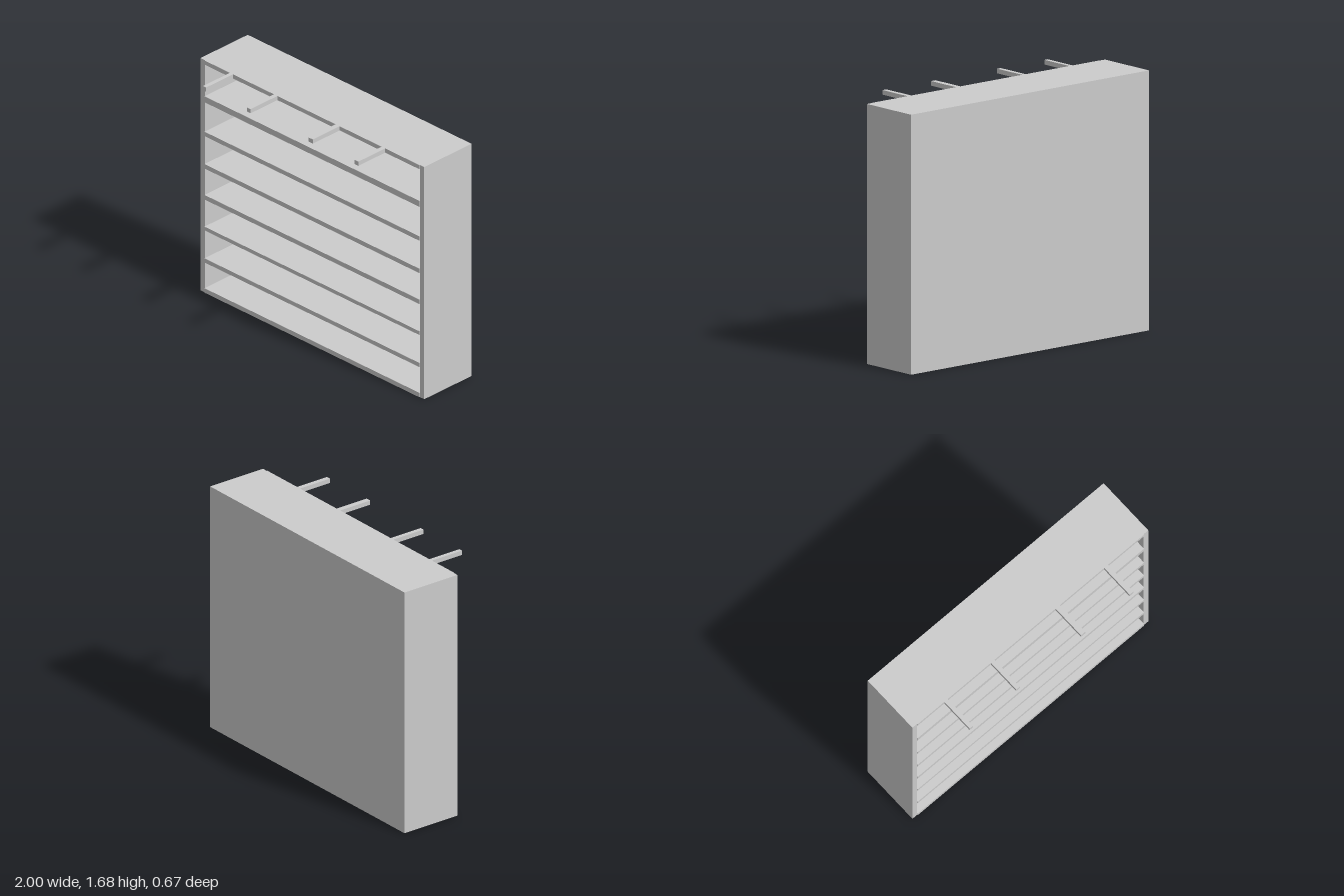
import * as THREE from 'three';

const material = new THREE.MeshStandardMaterial({ color: 0xcccccc, flatShading: true });

// Box given by its minimum and maximum along each axis
function addBox(parent, name, [x0, x1], [y0, y1], [z0, z1]) {
  const mesh = new THREE.Mesh(new THREE.BoxGeometry(x1 - x0, y1 - y0, z1 - z0), material);
  mesh.position.set((x0 + x1) / 2, (y0 + y1) / 2, (z0 + z1) / 2);
  mesh.name = name;
  parent.add(mesh);
}

export function createModel() {
  const model = new THREE.Group();
  model.name = 'shelfCabinet';

  const height = 1.685, back = -0.335, front = 0.09, inner = 0.96;
  const panelFront = back + 0.025;
  const shelfFront = front + 0.004; // boards stand slightly proud of the sides

  // Outer casing
  addBox(model, 'rightSide', [-1, -inner], [0, height], [back, front]);
  addBox(model, 'leftSide', [inner, 1], [0, height], [back, front]);
  addBox(model, 'backPanel', [-inner, inner], [0, height], [back, panelFront]);

  // Horizontal boards, from base to top: [bottom, top]
  const boards = [
    [0, 0.032], [0.219, 0.249], [0.452, 0.479], [0.676, 0.709],
    [0.901, 0.933], [1.136, 1.168], [1.382, 1.425], [1.655, height],
  ];
  boards.forEach((span, i) => {
    const name = i === 0 ? 'base' : i === boards.length - 1 ? 'topBoard' : 'shelf';
    addBox(model, name, [-inner, inner], span, [panelFront, shelfFront]);
  });

  // Pegs sticking out of the top board
  const pegs = [[-0.733, -0.705], [-0.338, -0.308], [0.211, 0.248], [0.623, 0.655]];
  for (const span of pegs) addBox(model, 'peg', span, [1.655, height], [shelfFront, 0.335]);

  return model;
}
